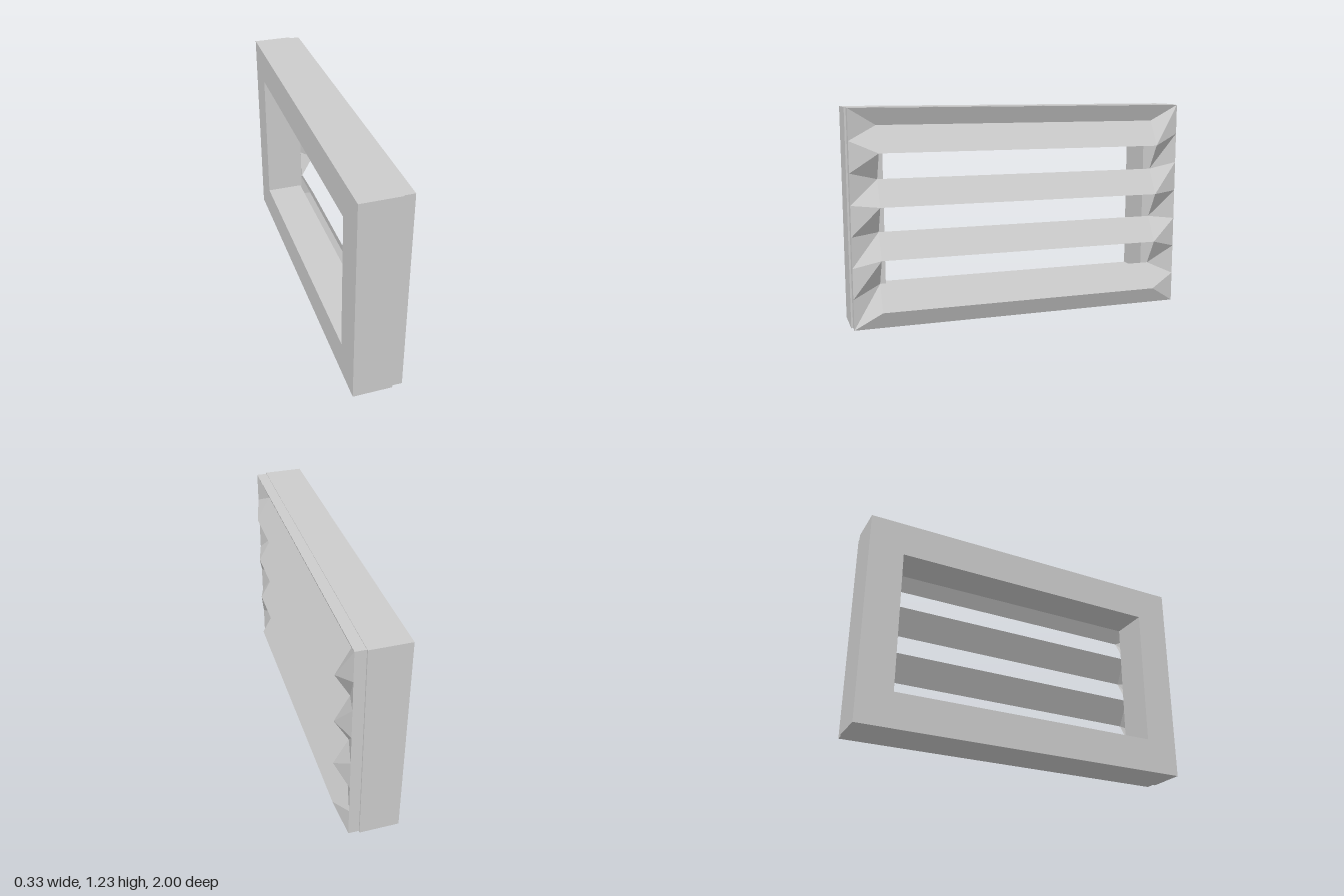
import * as THREE from 'three';

const HEIGHT = 1.23, FRAME_BACK = -0.165, FRAME_FRONT = 0.06, RIM_FRONT = 0.12;

// Mesh from separate four-cornered faces, so every fold stays sharp
function quadMesh(name, quads, material) {
  const positions = quads.flatMap(([a, b, c, d]) => [a, b, c, a, c, d].flat());
  const geometry = new THREE.BufferGeometry();
  geometry.setAttribute('position', new THREE.Float32BufferAttribute(positions, 3));
  geometry.computeVertexNormals();
  const mesh = new THREE.Mesh(geometry, material);
  mesh.name = name;
  return mesh;
}

function rectangle(path, halfWidth, bottom, top) {
  path.moveTo(-halfWidth, bottom);
  path.lineTo(halfWidth, bottom);
  path.lineTo(halfWidth, top);
  path.lineTo(-halfWidth, top);
  path.closePath();
  return path;
}

export function createModel() {
  const model = new THREE.Group();
  model.name = 'louvredVent';
  const metal = new THREE.MeshStandardMaterial({ color: 0xcccccc });
  metal.name = 'light grey metal';
  const sheet = new THREE.MeshStandardMaterial({ color: 0xcccccc, side: THREE.DoubleSide });
  sheet.name = metal.name;

  // Deep wall frame with a straight rectangular opening
  const outline = rectangle(new THREE.Shape(), 1, 0, HEIGHT);
  outline.holes.push(rectangle(new THREE.Path(), 0.8, 0.2, 1.03));
  const frameGeometry = new THREE.ExtrudeGeometry(outline, {
    depth: FRAME_FRONT - FRAME_BACK, bevelEnabled: false,
  });
  frameGeometry.rotateY(Math.PI / 2).translate(FRAME_BACK, 0, 0);
  const frame = new THREE.Mesh(frameGeometry, metal);
  frame.name = 'frame';
  model.add(frame);

  // Zigzag of louvre edges, from bottom to top, and matching points on the rim
  const rimZ = 0.99, slatZ = 0.835, rimBottom = 0.003, rimTop = HEIGHT - 0.003;
  const inner = [], outer = [];
  for (let i = 0; i < 8; i++) {
    inner.push([i % 2 ? 0.08 : 0.163, 0.1 + i * 0.1475]);
    outer.push([RIM_FRONT, rimBottom + (rimTop - rimBottom) * i / 7]);
  }
  const at = ([x, y], z) => [x, y, z];
  // Face spanning the width, from one edge up to the next
  const span = (a, za, b, zb) => [at(a, za), at(a, -za), at(b, -zb), at(b, zb)];

  // Rim walls standing on the frame
  const low = [FRAME_FRONT, rimBottom], high = [FRAME_FRONT, rimTop];
  const walls = [span(low, rimZ, outer[0], rimZ), span(outer[7], rimZ, high, rimZ)];
  for (const z of [rimZ, -rimZ]) {
    const wall = [at(low, z), at(outer[0], z), at(outer[7], z), at(high, z)];
    walls.push(z > 0 ? wall : wall.reverse());
  }
  model.add(quadMesh('rim', walls, sheet));

  // Sloping borders above and below, folded borders at both ends
  const borders = [
    span(outer[0], rimZ, inner[0], slatZ),
    span(inner[7], slatZ, outer[7], rimZ),
  ];
  for (let i = 0; i < 7; i++) {
    for (const s of [1, -1]) {
      const fold = [
        at(outer[i], s * rimZ), at(inner[i], s * slatZ),
        at(inner[i + 1], s * slatZ), at(outer[i + 1], s * rimZ),
      ];
      borders.push(s > 0 ? fold : fold.reverse());
    }
  }
  model.add(quadMesh('foldedBorder', borders, sheet));

  // Four tilted slats with open gaps between them
  for (let i = 0; i < 8; i += 2) {
    model.add(quadMesh('slat', [span(inner[i], slatZ, inner[i + 1], slatZ)], sheet));
  }
  return model;
}
